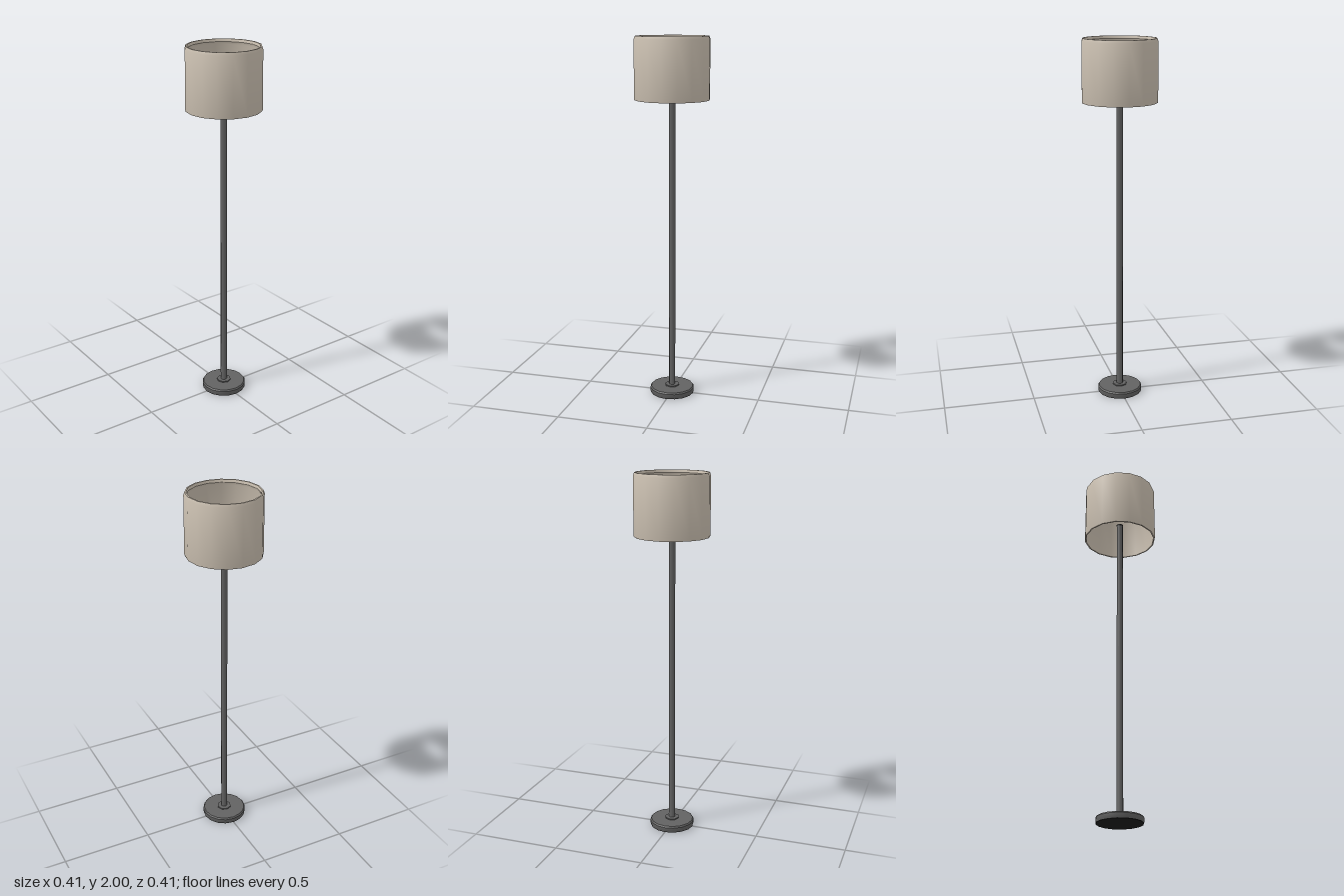
import * as THREE from 'three';
import { toCreasedNormals } from 'three/addons/utils/BufferGeometryUtils.js';

const mat = (name, color) => {
  const m = new THREE.MeshStandardMaterial({ color });
  m.name = name;
  return m;
};

export function createModel() {
  const lamp = new THREE.Group();
  lamp.name = 'floorLamp';
  const fabric = mat('beige fabric', 0xcbc0b1);
  const metal = mat('dark grey metal', 0x626262);
  const black = mat('black', 0x1c1c1c);

  // Turned part from [radius, height] points, listed from bottom to top on the outside
  const turned = (name, points, sides, material, crease = 0.6) => {
    const profile = points.map(([r, y]) => new THREE.Vector2(r, y));
    const geo = toCreasedNormals(new THREE.LatheGeometry(profile, sides), crease);
    const mesh = new THREE.Mesh(geo, material);
    mesh.name = name;
    lamp.add(mesh);
  };

  // Weighted foot with a bevelled top edge and a dark pad beneath
  turned('base', [[0.123, 0.003], [0.125, 0.008], [0.125, 0.028], [0.119, 0.036], [0, 0.038]], 16, metal);
  turned('basePad', [[0, 0], [0.123, 0], [0.123, 0.003]], 16, black);

  // Collar and pole
  turned('collar', [[0.04, 0.036], [0.04, 0.044], [0, 0.045]], 8, metal);
  turned('pole', [[0.018, 0.04], [0.018, 1.76]], 8, metal, 0.9);
  turned('poleCap', [[0.019, 1.755], [0.019, 1.765], [0, 1.765]], 8, black, 0.9);

  // Open drum shade: outer wall, rolled top rim, inner wall, closed at the bottom edge
  turned('shade', [
    [0.196, 1.665], [0.203, 1.665], [0.205, 1.672], [0.203, 1.985], [0.198, 2.0],
    [0.19, 2.0], [0.187, 1.985], [0.194, 1.97], [0.196, 1.665],
  ], 16, fabric);

  return lamp;
}
